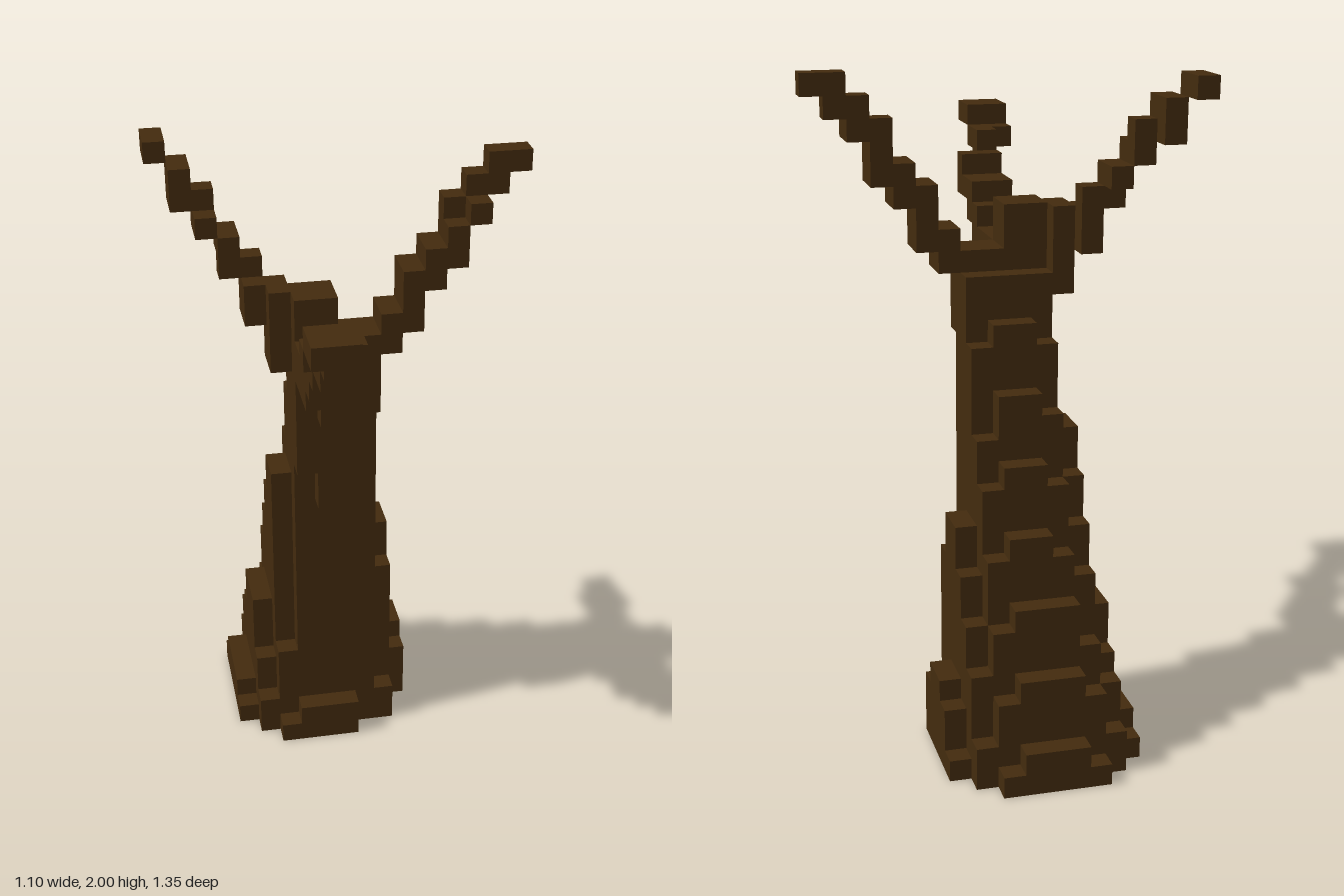
import * as THREE from 'three';
import { mergeGeometries } from 'three/addons/utils/BufferGeometryUtils.js';

const S = 2 / 31; // voxel size; grid is 17 x 31 x 21 cells

// Trunk outline at some layers: [layer, xMin, xMax, zMin, zMax] in cells
const OUTLINE = [
  [0, 3.0, 11.95, -0.15, 9.85],
  [1, 3.3, 11.85, 0.2, 9.65],
  [2, 3.7, 11.75, 0.6, 9.2],
  [3, 3.8, 11.6, 0.95, 9.1],
  [6, 4.4, 11.1, 1.95, 9.1],
  [10, 4.95, 10.6, 3.3, 9.1],
  [13, 5.3, 10.3, 4.3, 9.3],
  [14, 5.4, 10.2, 4.6, 9.75],
  [18, 5.8, 10.1, 5.95, 9.95],
  [21, 5.9, 10.1, 6.95, 10.1],
];

// Branch blocks: [x0, x1, y0, y1, z0, z1] in cells, upper bounds exclusive
const BRANCHES = {
  frontBranch: [
    [7, 9, 19, 22, 10, 11], [6, 8, 21, 23, 10, 13], [6, 8, 22, 24, 13, 14],
    [6, 8, 23, 25, 14, 15], [6, 8, 24, 25, 15, 16], [6, 8, 24, 26, 16, 17],
    [6, 7, 25, 27, 17, 18], [5, 7, 26, 27, 18, 19], [5, 7, 27, 28, 19, 21],
  ],
  leftBranch: [
    [8, 10, 21, 23, 8, 10], [10, 11, 22, 24, 8, 10], [11, 12, 23, 26, 8, 10],
    [12, 13, 25, 27, 8, 10], [13, 14, 26, 28, 8, 10], [13, 14, 28, 29, 8, 9],
    [14, 15, 28, 29, 8, 10], [14, 16, 29, 30, 8, 9], [15, 17, 30, 31, 8, 9],
  ],
  rightBranch: [
    [6, 8, 21, 25, 8, 10], [5, 6, 21, 25, 7, 9], [4, 5, 23, 25, 6, 8],
    [4, 5, 25, 26, 6, 7], [3, 4, 25, 27, 6, 7], [3, 4, 26, 27, 5, 7],
    [2, 3, 27, 28, 5, 7], [2, 3, 28, 29, 5, 6], [1, 2, 28, 30, 4, 6],
    [0, 1, 30, 31, 3, 5],
  ],
};

// Six neighbour directions, each with an outward-facing unit square
const FACES = [
  [1, 0, 0], [-1, 0, 0], [0, 1, 0], [0, -1, 0], [0, 0, 1], [0, 0, -1],
].map((d) => {
  const q = new THREE.Quaternion().setFromUnitVectors(
    new THREE.Vector3(0, 0, 1), new THREE.Vector3(...d));
  const geo = new THREE.PlaneGeometry(1, 1).applyQuaternion(q);
  return { d, geo: geo.translate(d[0] / 2, d[1] / 2, d[2] / 2) };
});

function outlineAt(y) {
  const n = Math.max(1, OUTLINE.findIndex((o) => o[0] >= y));
  const a = OUTLINE[n - 1], b = OUTLINE[n];
  const t = (y - a[0]) / (b[0] - a[0]);
  return a.map((v, i) => v + (b[i] - v) * t);
}

// Leaning, tapering stack of rounded layers
function trunkCells() {
  const cells = [];
  for (let y = 0; y < 22; y++) {
    const [, x0, x1, z0, z1] = outlineAt(y);
    for (let x = 0; x < 17; x++) for (let z = 0; z < 21; z++) {
      const u = Math.abs((2 * x + 1 - x0 - x1) / (x1 - x0));
      const v = Math.abs((2 * z + 1 - z0 - z1) / (z1 - z0));
      if (u ** 2.3 + v ** 2.3 <= 1) cells.push([x, y, z]);
    }
  }
  return cells;
}

function blockCells(blocks) {
  const cells = [];
  for (const [x0, x1, y0, y1, z0, z1] of blocks)
    for (let x = x0; x < x1; x++)
      for (let y = y0; y < y1; y++)
        for (let z = z0; z < z1; z++) cells.push([x, y, z]);
  return cells;
}

export function createModel() {
  const group = new THREE.Group();
  group.name = 'bareTree';
  const bark = new THREE.MeshStandardMaterial({ color: 0x432b0e });
  bark.name = 'dark brown bark';

  // Give every cell to the first part that claims it
  const taken = new Set();
  const claim = (cells) => cells.filter((c) => {
    const key = c.join();
    return !taken.has(key) && taken.add(key);
  });
  const parts = { trunk: claim(trunkCells()) };
  for (const name in BRANCHES) parts[name] = claim(blockCells(BRANCHES[name]));

  // Build only the exposed faces of each part
  for (const name in parts) {
    const squares = [];
    for (const [x, y, z] of parts[name])
      for (const { d, geo } of FACES)
        if (!taken.has([x + d[0], y + d[1], z + d[2]].join()))
          squares.push(geo.clone().translate(x - 8, y + 0.5, z - 10));
    const mesh = new THREE.Mesh(mergeGeometries(squares).scale(S, S, S), bark);
    mesh.name = name;
    group.add(mesh);
  }
  return group;
}
